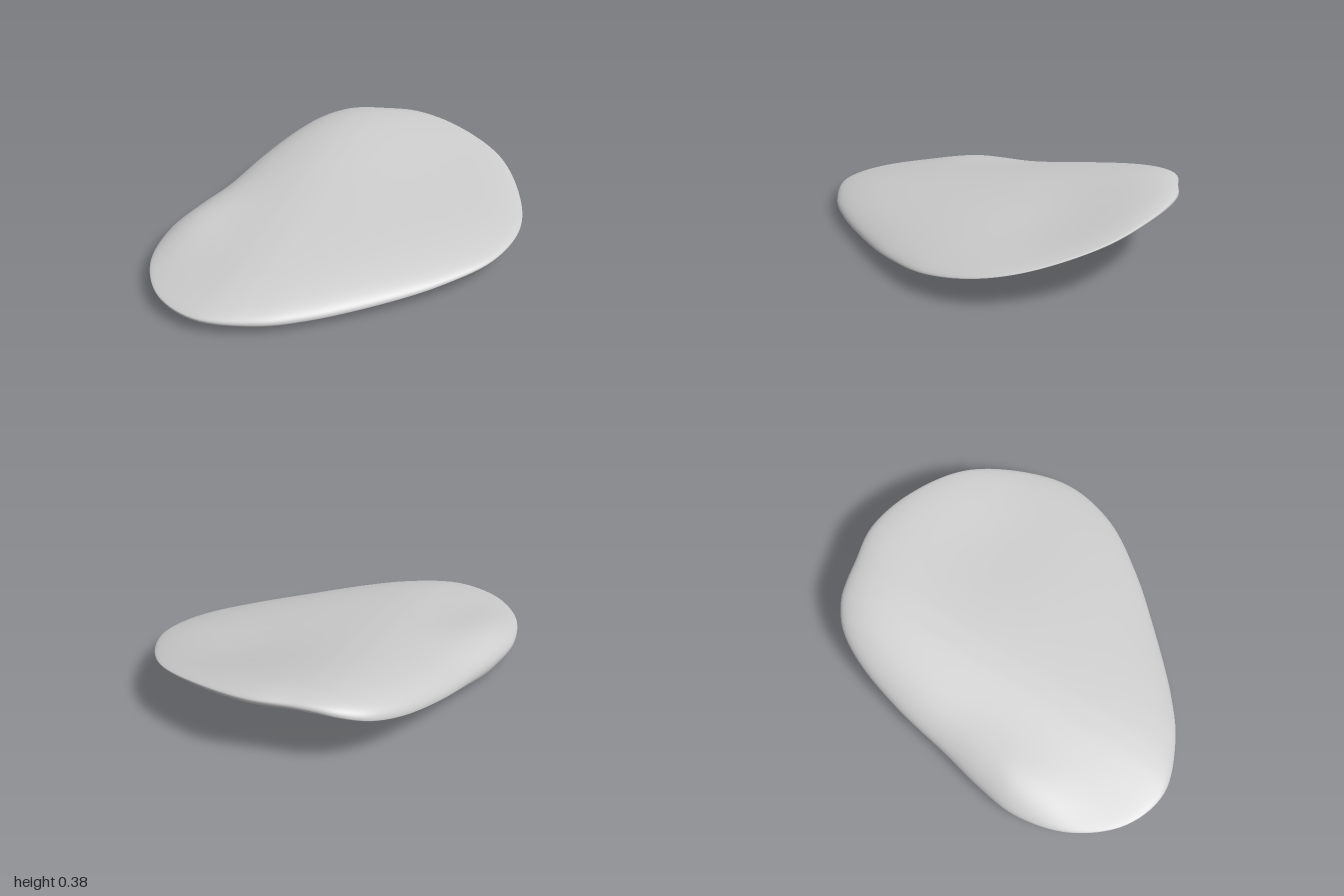
import * as THREE from 'three';

// Rim of the stone as x, y, z points, clockwise seen from above, starting at the back
const RIM = [
  [0.03, 0.353, -1], [0.3, 0.335, -0.94], [0.6, 0.28, -0.77], [0.8, 0.2, -0.48],
  [0.86, 0.155, -0.24], [0.8, 0.115, 0.03], [0.62, 0.085, 0.29], [0.4, 0.065, 0.52],
  [0.1, 0.06, 0.79], [-0.1, 0.065, 0.92], [-0.38, 0.08, 1], [-0.62, 0.09, 0.91],
  [-0.8, 0.1, 0.68], [-0.862, 0.1, 0.4], [-0.83, 0.1, 0.17], [-0.77, 0.115, -0.07],
  [-0.7, 0.17, -0.4], [-0.6, 0.23, -0.69], [-0.5, 0.275, -0.845], [-0.38, 0.315, -0.925],
  [-0.285, 0.335, -0.95], [-0.18, 0.345, -0.967],
];

const bump = (x, z, cx, cz, sx, sz) => Math.exp(-(((x - cx) / sx) ** 2) - ((z - cz) / sz) ** 2);

// Upper face: rises to the back, falls off to both sides, shallow dip at the back, swelling on the right lobe
const topHeight = (x, z) =>
  0.27 - 0.145 * z + 0.01 * z * z
  - 0.1 * Math.max(0, x + 0.2) ** 1.3 - 0.12 * Math.max(0, -x - 0.3) ** 1.3
  - 0.025 * bump(x, z, 0.35, -0.5, 0.4, 0.35)
  + 0.045 * bump(x, z, -0.78, 0.32, 0.2, 0.35);

// Underside: same tilt, one lump that touches the ground and a hollow beside it
const bottomHeight = (x, z) =>
  0.065 - 0.13 * z + 0.065 * z * z + 0.05 * Math.max(0, x)
  - 0.08 * bump(x, z, -0.75, 0.07, 0.25, 0.27)
  + 0.06 * bump(x, z, -0.3, -0.38, 0.3, 0.45);

function stoneGeometry(segments = 160, rows = 96) {
  const rim = new THREE.CatmullRomCurve3(RIM.map(p => new THREE.Vector3(...p)), true).getSpacedPoints(segments);
  const cx = -0.05, cz = 0;
  const positions = [], indices = [];

  // Rows run from the middle of the top, around the rim, to the middle of the underside
  for (let i = 0; i <= rows; i++) {
    const v = (i / rows) * Math.PI;
    const r = i === rows ? 0 : Math.sin(v);
    const swell = Math.sqrt(Math.max(0, 1 - r ** 5));
    const face = i <= rows / 2 ? topHeight : bottomHeight;
    for (let j = 0; j < segments; j++) {
      const p = rim[j];
      const x = cx + (p.x - cx) * r, z = cz + (p.z - cz) * r;
      positions.push(x, THREE.MathUtils.lerp(p.y, face(x, z), swell), z);
    }
  }

  // Each pole row shares its first vertex
  const id = (i, j) => i * segments + (i === 0 || i === rows ? 0 : j % segments);
  for (let i = 0; i < rows; i++) {
    for (let j = 0; j < segments; j++) {
      const a = id(i, j), b = id(i, j + 1), c = id(i + 1, j + 1), d = id(i + 1, j);
      if (i > 0) indices.push(a, b, c);
      if (i < rows - 1) indices.push(a, c, d);
    }
  }

  const geometry = new THREE.BufferGeometry();
  geometry.setAttribute('position', new THREE.Float32BufferAttribute(positions, 3));
  geometry.setIndex(indices);
  geometry.computeBoundingBox();
  geometry.translate(0, -geometry.boundingBox.min.y, 0);
  geometry.computeVertexNormals();
  return geometry;
}

export function createModel() {
  const group = new THREE.Group();
  group.name = 'flatStone';
  const stone = new THREE.Mesh(stoneGeometry(), new THREE.MeshStandardMaterial({ color: 0xcccccc }));
  stone.name = 'stone';
  group.add(stone);
  return group;
}
